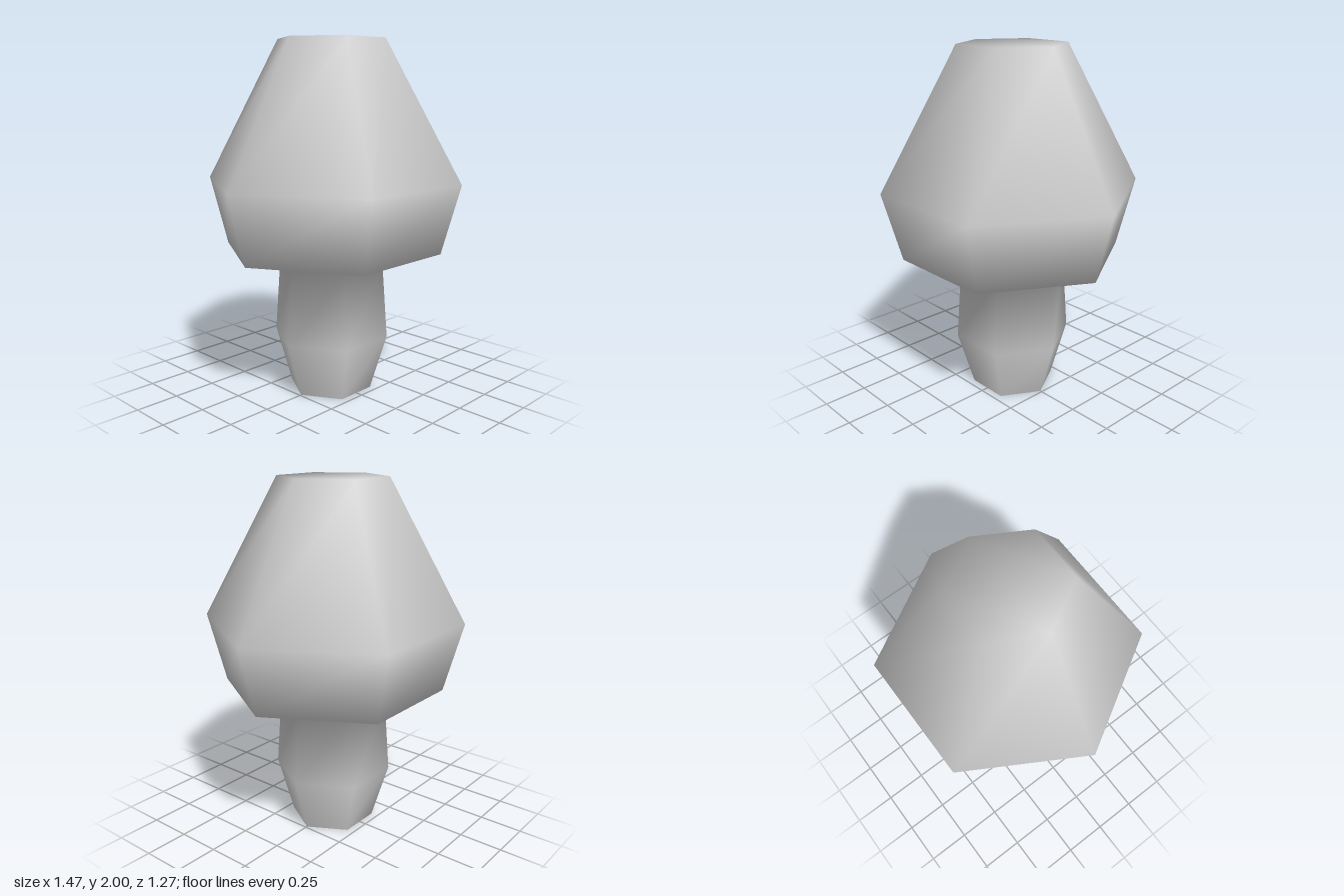
import * as THREE from 'three';

const SIDES = 6;

// Hexagonal skin through [radius, height] rings, closed on top, with shared smooth normals
function hexSkin(profile) {
  const positions = [];
  const index = [];
  for (const [radius, y] of profile) {
    for (let i = 0; i < SIDES; i++) {
      const angle = (i / SIDES) * Math.PI * 2;
      positions.push(radius * Math.cos(angle), y, radius * Math.sin(angle));
    }
  }
  for (let ring = 0; ring < profile.length - 1; ring++) {
    for (let i = 0; i < SIDES; i++) {
      const a = ring * SIDES + i;
      const b = ring * SIDES + ((i + 1) % SIDES);
      const c = b + SIDES;
      const d = a + SIDES;
      index.push(a, d, b, b, d, c);
    }
  }
  // Flat top: two corner triangles and a middle quad
  const top = (profile.length - 1) * SIDES;
  for (const [a, b, c] of [[2, 1, 0], [5, 4, 3], [3, 2, 0], [5, 3, 0]]) {
    index.push(top + a, top + b, top + c);
  }
  const geometry = new THREE.BufferGeometry();
  geometry.setAttribute('position', new THREE.Float32BufferAttribute(positions, 3));
  geometry.setIndex(index);
  geometry.computeVertexNormals();
  return geometry;
}

export function createModel() {
  const model = new THREE.Group();
  model.name = 'mushroom';
  const paleGrey = new THREE.MeshStandardMaterial({ color: 0xcccccc });
  paleGrey.name = 'paleGrey';

  // Stem flowing into the wide head
  const body = new THREE.Mesh(hexSkin([
    [0.24, 0],
    [0.335, 0.32],
    [0.305, 0.745],
    [0.63, 0.825],
    [0.735, 1.215],
    [0.305, 2],
  ]), paleGrey);
  body.name = 'stemAndHead';
  model.add(body);

  // Flat underside of the stem
  const base = new THREE.Mesh(new THREE.CircleGeometry(0.24, SIDES).rotateX(Math.PI / 2), paleGrey);
  base.name = 'stemBase';
  model.add(base);

  return model;
}
